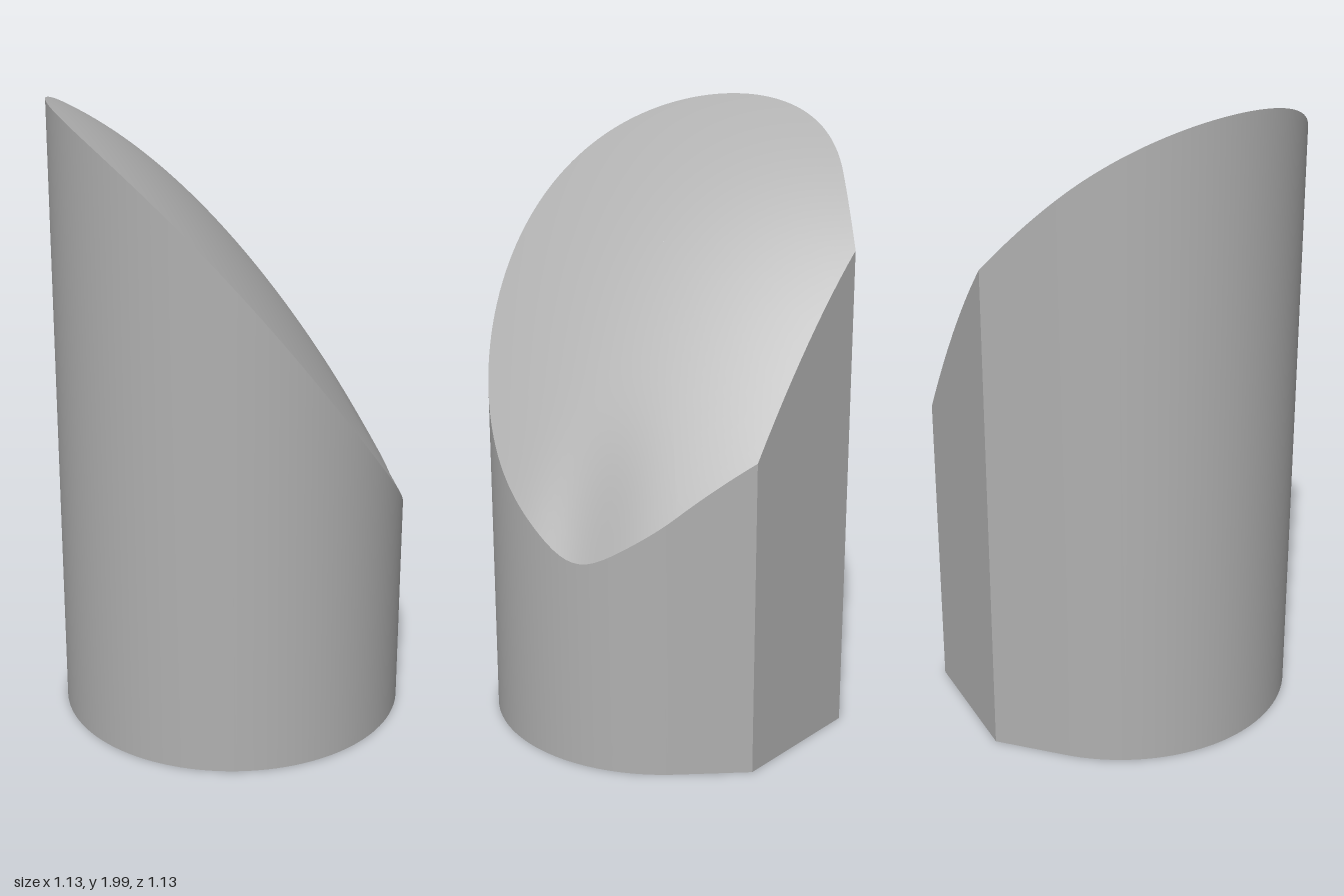
import * as THREE from 'three';

const R = 0.565;

// Height of the gently domed slanted cut above any point of the plan
function cutHeight(x, z) {
  const dip = 0.05 * Math.exp(-((x - 0.55) ** 2 + (z + 0.13) ** 2) / 0.02);
  return 1.552 - 1.094 * x - 0.6 * x * x + 0.294 * z - 0.26 * z * z + 0.2 * x * z - dip;
}

// Smooth surface between point functions; faces towards (along the line) x (along the rows)
function loft(points, rows, place) {
  const pos = [], index = [], n = points.length;
  for (let j = 0; j <= rows; j++) {
    for (const [x, z] of points) pos.push(...place(x, z, j / rows));
  }
  for (let j = 0; j < rows; j++) {
    for (let i = 0; i < n - 1; i++) {
      const a = j * n + i, c = a + n;
      index.push(a, a + 1, c, a + 1, c + 1, c);
    }
  }
  const geometry = new THREE.BufferGeometry();
  geometry.setAttribute('position', new THREE.Float32BufferAttribute(pos, 3));
  geometry.setIndex(index);
  geometry.computeVertexNormals();
  return geometry;
}

function line(a, b, steps) {
  return Array.from({ length: steps + 1 }, (_, i) => {
    const t = i / steps;
    return [a[0] + (b[0] - a[0]) * t, a[1] + (b[1] - a[1]) * t];
  });
}

export function createModel() {
  const group = new THREE.Group();
  group.name = 'slantCutPost';
  const grey = new THREE.MeshStandardMaterial({ color: 0xb0b0b0 });
  grey.name = 'grey';

  const add = (name, geometry) => {
    const mesh = new THREE.Mesh(geometry, grey);
    mesh.name = name;
    group.add(mesh);
  };

  // Plan: three quarters of a circle, closed by two tangents and a flat back
  const arc = Array.from({ length: 109 }, (_, i) => {
    const t = -Math.PI / 4 + (i / 108) * Math.PI * 1.5;
    return [R * Math.cos(t), R * Math.sin(t)];
  });
  const k = R * Math.SQRT1_2, b = R * (Math.SQRT2 - 1);
  const sides = {
    roundWall: arc,
    rightBackFacet: line([-k, -k], [-b, -R], 8),
    backFacet: line([-b, -R], [b, -R], 12),
    leftBackFacet: line([b, -R], [k, -k], 8),
  };

  // Walls, from the cut down to the floor
  for (const [name, points] of Object.entries(sides)) {
    add(name, loft(points, 1, (x, z, v) => [x, cutHeight(x, z) * (1 - v), z]));
  }

  // Slanted top and flat bottom
  const outline = Object.values(sides).flatMap((p) => p.slice(0, -1));
  outline.push(outline[0]);
  add('slantedTop', loft(outline, 20, (x, z, v) => {
    const s = Math.max(v, 0.001);
    return [x * s, cutHeight(x * s, z * s), z * s];
  }));
  add('base', loft(outline, 1, (x, z, v) => [x * (1 - v), 0, z * (1 - v)]));

  return group;
}
